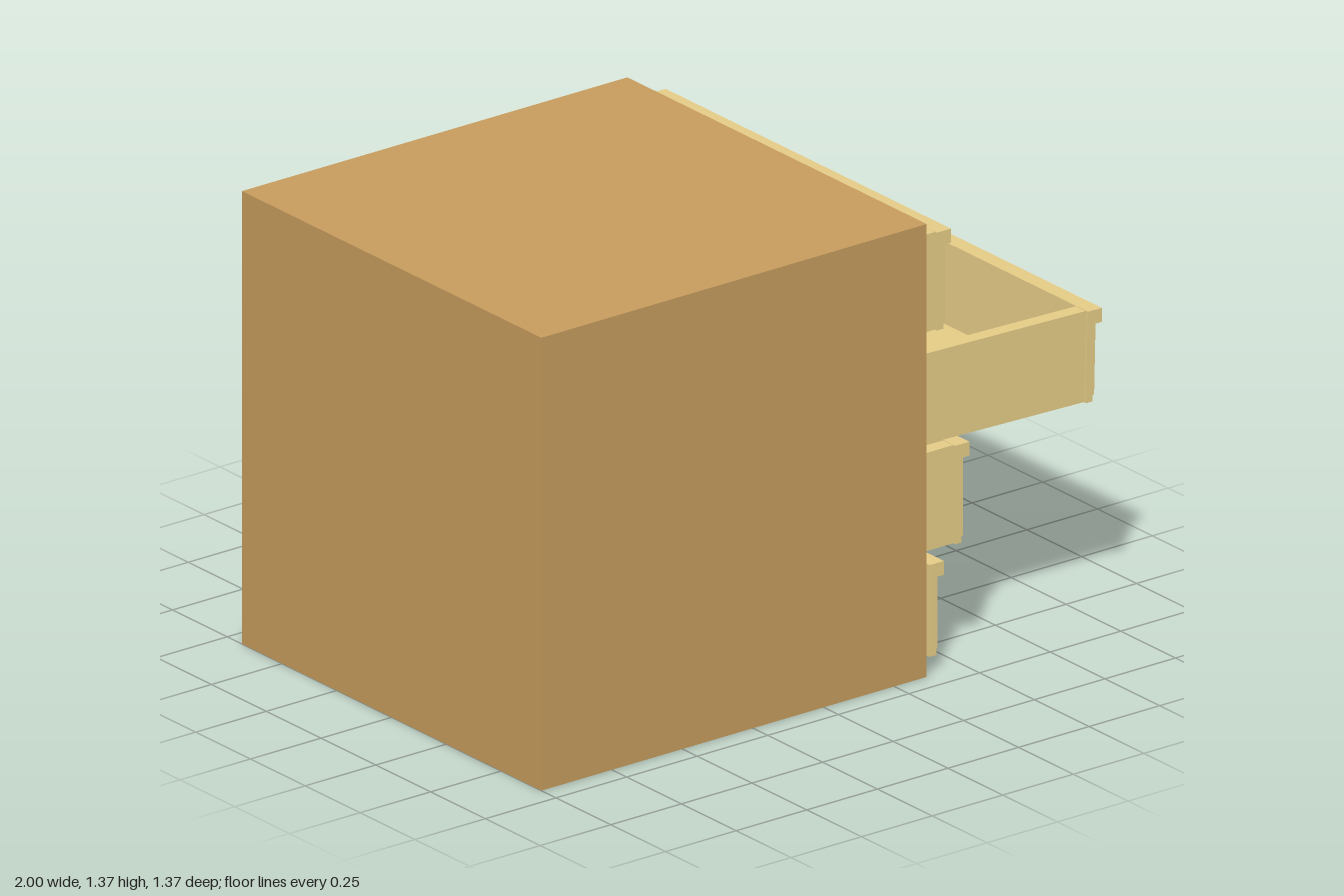
import * as THREE from 'three';

const paint = (color) => new THREE.MeshStandardMaterial({ color, flatShading: true });
const wood = paint(0xc89d5e);
const paleWood = paint(0xe7ce88);
const grey = paint(0xcccccc);

// Box given by its minimum and maximum corners
function box(name, material, [x0, y0, z0], [x1, y1, z1]) {
  const mesh = new THREE.Mesh(new THREE.BoxGeometry(x1 - x0, y1 - y0, z1 - z0), material);
  mesh.position.set((x0 + x1) / 2, (y0 + y1) / 2, (z0 + z1) / 2);
  mesh.name = name;
  return mesh;
}

// Rectangle traced as a closed outline
function rect(target, x0, y0, x1, y1) {
  target.moveTo(x0, y0).lineTo(x1, y0).lineTo(x1, y1).lineTo(x0, y1).closePath();
  return target;
}

// Carcass with four drawer bays opening towards +x
function createCabinet() {
  const cabinet = new THREE.Group();
  cabinet.name = 'cabinet';
  const outline = rect(new THREE.Shape(), -0.683, 0, 0.683, 1.37);
  for (const [y0, y1] of [[0.045, 0.328], [0.365, 0.666], [0.688, 0.99], [1.028, 1.326]]) {
    outline.holes.push(rect(new THREE.Path(), -0.667, y0, 0.655, y1));
  }
  const geometry = new THREE.ExtrudeGeometry(outline, { depth: 1.345, bevelEnabled: false });
  geometry.rotateY(Math.PI / 2).translate(-0.98, 0, 0);
  const frame = new THREE.Mesh(geometry, wood);
  frame.name = 'cabinetFrame';
  cabinet.add(frame, box('cabinetBack', wood, [-1, 0, -0.683], [-0.98, 1.37, 0.683]));
  return cabinet;
}

// Open drawer; its origin is the top front edge of the lip, z0..z1 is the front's width
function createDrawer(name, x, top, h, z0, z1, material) {
  const drawer = new THREE.Group();
  drawer.name = name;
  drawer.position.set(x, top, 0);

  // Front panel with an overhanging lip and a small recess along the bottom
  const profile = new THREE.Shape([
    [-0.05, 0], [-0.05, -h], [-0.027, -h], [-0.027, -h + 0.02], [-0.022, -h + 0.02],
    [-0.022, -0.042], [0, -0.042], [0, 0],
  ].map(([px, py]) => new THREE.Vector2(px, py)));
  const front = new THREE.Mesh(
    new THREE.ExtrudeGeometry(profile, { depth: z1 - z0, bevelEnabled: false }), material);
  front.position.z = z0;
  front.name = 'drawerFront';

  // Sides, back and floor
  const back = -1.36, wall = 0.045, a = z0 - 0.013, b = z1 - 0.01;
  drawer.add(
    front,
    box('drawerSideRight', material, [back, -h, a], [-0.03, -0.001, a + wall]),
    box('drawerSideLeft', material, [back, -h, b - wall], [-0.03, -0.001, b]),
    box('drawerBack', material, [back, -h, a + wall], [back + wall, -0.001, b - wall]),
    box('drawerFloor', material, [back + wall, -h, a + wall], [-0.05, -h + 0.03, b - wall]),
  );
  return drawer;
}

export function createModel() {
  const model = new THREE.Group();
  model.name = 'drawerCabinet';
  model.add(createCabinet());

  const full = [-0.637, 0.665];
  model.add(createDrawer('bottomDrawer', 0.44, 0.326, 0.278, ...full, paleWood));
  model.add(createDrawer('lowerLeftDrawer', 0.53, 0.664, 0.298, 0.018, 0.665, paleWood));
  model.add(createDrawer('lowerRightDrawer', 0.46, 0.664, 0.298, -0.637, 0.01, grey));
  model.add(createDrawer('topDrawer', 0.465, 1.325, 0.296, ...full, paleWood));

  // Pulled-out drawer sags a little; a raised liner covers the rear of its floor
  const pulled = createDrawer('upperDrawer', 1, 0.95, 0.275, ...full, paleWood);
  pulled.add(box('floorLiner', paleWood, [-1.31, -0.246, -0.6], [-0.61, -0.236, 0.605]));
  pulled.rotation.z = -0.024;
  model.add(pulled);
  return model;
}
